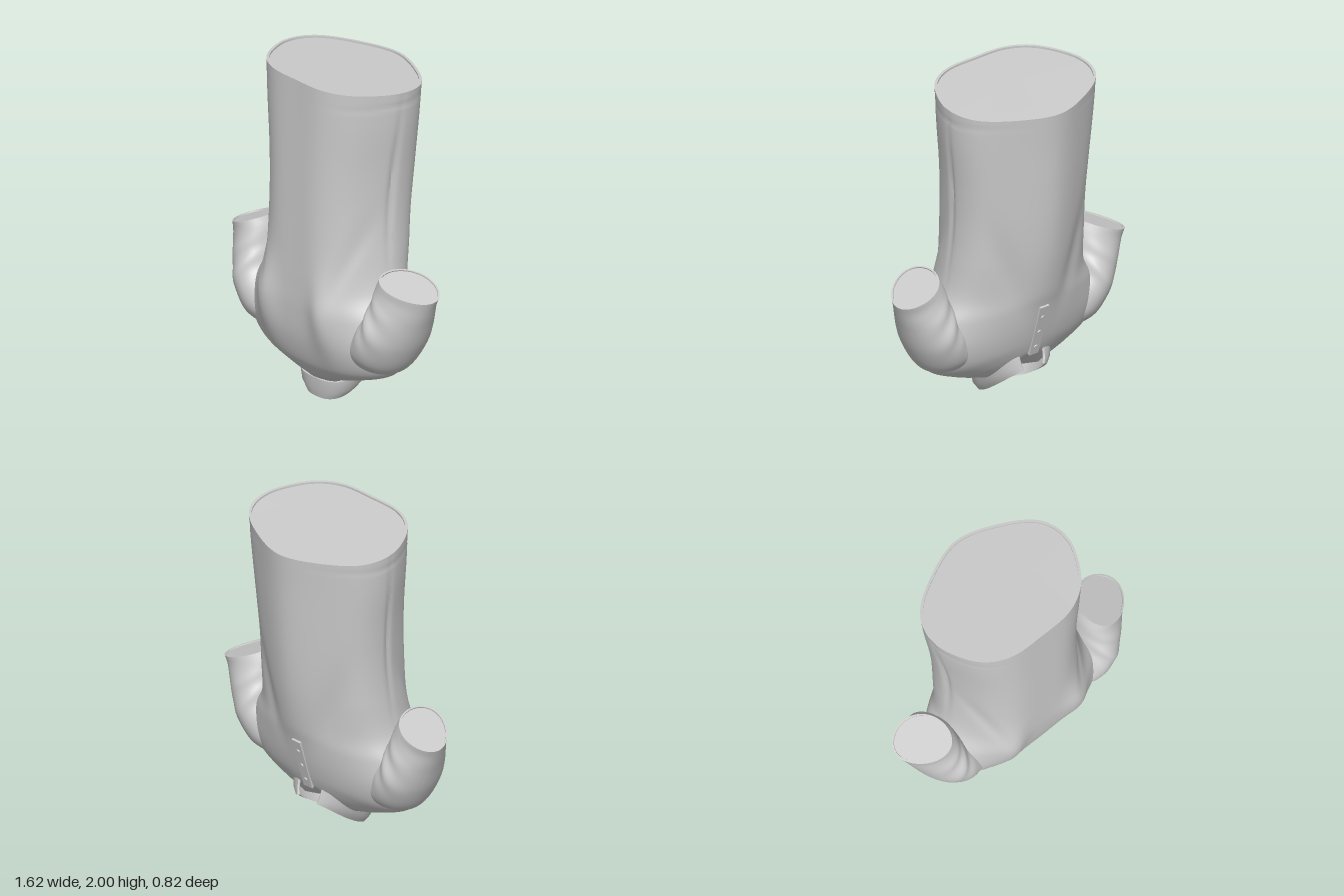
import * as THREE from 'three';
import { toCreasedNormals } from 'three/addons/utils/BufferGeometryUtils.js';

const material = new THREE.MeshStandardMaterial({ color: 0xcccccc, side: THREE.DoubleSide });
const V = (x, y, z) => new THREE.Vector3(x, y, z);
const bump = (d, w) => Math.exp(-(d * d) / (w * w));
const centre = ring => ring.reduce((s, p) => s.add(p), V(0, 0, 0)).divideScalar(ring.length);

// Skin closed rings of points; optional fans close the two ends
function loft(name, rings, capStart, capEnd, crease = 0.8) {
  const n = rings[0].length, pts = rings.flat(), index = [];
  for (let i = 0; i < rings.length - 1; i++) {
    for (let j = 0; j < n; j++) {
      const a = i * n + j, b = i * n + (j + 1) % n;
      index.push(a, b, a + n, b, b + n, a + n);
    }
  }
  const fan = (start, flip) => {
    const c = pts.push(centre(pts.slice(start, start + n))) - 1;
    for (let j = 0; j < n; j++) {
      const a = start + j, b = start + (j + 1) % n;
      index.push(...(flip ? [b, a, c] : [a, b, c]));
    }
  };
  if (capStart) fan(0, true);
  if (capEnd) fan((rings.length - 1) * n, false);
  const g = new THREE.BufferGeometry().setFromPoints(pts);
  g.setIndex(index);
  const mesh = new THREE.Mesh(toCreasedNormals(g, crease), material);
  mesh.name = name;
  return mesh;
}

// Smoothly blend a table of station rows into many rows
function blend(rows, steps) {
  const k = rows[0].length;
  const curve = new THREE.CubicInterpolant(rows.map((_, i) => i), rows.flat(), k, new Float32Array(k));
  return Array.from({ length: steps + 1 }, (_, i) =>
    Array.from(curve.evaluate(i / steps * (rows.length - 1))));
}

// Fold the last ring inwards to show the cloth thickness
function addRim(rings, thick, depth) {
  const last = rings.at(-1), c = centre(last);
  const down = centre(rings.at(-2)).sub(c).setLength(depth);
  const inner = last.map(p => p.clone().add(c.clone().sub(p).setLength(thick)));
  rings.push(inner, inner.map(p => p.clone().add(down)));
}

// Cross-section of the body, flat in front and peaked behind
const half = [[0.89, -0.43], [0.52, -0.78], [0, -1]];
const frontHalf = [[-0.91, 0.42], [-0.7, 0.79], [-0.42, 0.97], [0, 1]];
const mirror = a => a.slice(0, -1).reverse().map(([x, z]) => [-x, z]);
const section = new THREE.CatmullRomCurve3(
  [[1, 0], ...half, ...mirror(half), [-1, 0], ...frontHalf, ...mirror(frontHalf)].map(([x, z]) => V(x, 0, z)), true);

function makeBody() {
  // y front, y side, y back, half width, z front, z back, z middle, roundness
  const rows = blend([
    [0.09, 0.14, 0.315, 0.17, 0.195, -0.14, 0.05, 1],
    [0.125, 0.16, 0.34, 0.21, 0.22, -0.162, 0.06, 1],
    [0.18, 0.21, 0.375, 0.385, 0.27, -0.178, 0.09, 0.9],
    [0.27, 0.29, 0.43, 0.545, 0.325, -0.198, 0.1, 0.7],
    [0.42, 0.43, 0.52, 0.605, 0.365, -0.225, 0.09, 0.5],
    [0.6, 0.61, 0.66, 0.555, 0.38, -0.262, 0.07, 0.35],
    [0.76, 0.765, 0.78, 0.47, 0.38, -0.295, 0.04, 0.15],
    [1, 1, 1, 0.438, 0.375, -0.335, 0, 0],
    [1.25, 1.24, 1.22, 0.432, 0.37, -0.36, -0.02, 0],
    [1.5, 1.48, 1.46, 0.446, 0.365, -0.377, -0.03, 0],
    [1.78, 1.76, 1.73, 0.477, 0.36, -0.392, -0.03, 0],
    [2, 1.975, 1.945, 0.494, 0.357, -0.408, -0.03, 0],
  ], 121);
  const n = 144;
  const rings = rows.map(([yF, yS, yB, hw, zF, zB, zM, round]) => Array.from({ length: n }, (_, j) => {
    const s = section.getPoint(j / n);
    s.lerp(s.clone().normalize(), round);
    const front = s.z > 0;
    const y = yS + ((front ? yF : yB) - yS) * Math.abs(s.z) ** (1 + round);
    let x = s.x * hw, z = zM + Math.abs(s.z) * ((front ? zF : zB) - zM);
    const ax = Math.abs(x);
    if (front) {
      // chest bulges and the diagonal folds rising from the armpits
      z += 0.05 * bump(ax - 0.25, 0.1) * bump(y - 0.62, 0.22) * s.z;
      z -= 0.018 * bump(ax - 0.31 - (y - 0.85) * 0.25, 0.035) * bump(y - 1.02, 0.25);
    } else {
      // soft drapes on the other face
      z += 0.018 * bump(ax - 0.2 - (y - 0.8) * 0.28, 0.07) * bump(y - 0.95, 0.28);
    }
    // side seam
    if (ax > 0.3) x -= Math.sign(x) * 0.016 * bump(z + 0.01 - (1.9 - y) * 0.06, 0.02) * bump(y - 1.4, 0.4);
    // hem stitching
    x *= 1 - 0.008 * bump(y - 1.9, 0.012);
    return V(x, y, z);
  }));
  addRim(rings, 0.016, 0.012);
  return loft('body', rings, true, true);
}

function makeSleeve(side) {
  // outer x, y; inner x, y; z front, z back
  const rows = blend([
    [0.47, 0.27, 0.26, 0.44, 0.27, -0.07],
    [0.595, 0.325, 0.34, 0.54, 0.32, -0.12],
    [0.69, 0.475, 0.42, 0.65, 0.325, -0.14],
    [0.755, 0.645, 0.455, 0.76, 0.28, -0.11],
    [0.79, 0.745, 0.48, 0.86, 0.245, -0.08],
    [0.81, 0.8, 0.51, 0.92, 0.235, -0.075],
  ], 44);
  const n = 72;
  const rings = rows.map(([ox, oy, ix, iy, zF, zB], i) => {
    const v = i / 44;
    const ring = Array.from({ length: n }, (_, j) => {
      const a = j / n * Math.PI * 2, u = Math.cos(a);
      // gathers around the armhole, strongest on the inner side
      const gather = 1 + 0.05 * Math.sin(v * 32 + u * 4) * bump(v - 0.5, 0.18) * (0.5 - 0.5 * u);
      const w = -Math.sin(a) * (1 - 0.12 * u) * gather;
      const k = (1 + u) / 2;
      // the outer edge of the cuff leans back
      const z = (zF + zB) / 2 + w * (zF - zB) / 2 - 0.035 * u * v;
      return V(side * (ix + (ox - ix) * k), iy + (oy - iy) * k, z);
    });
    return side > 0 ? ring : ring.reverse();
  });
  addRim(rings, 0.01, 0.008);
  return loft(side > 0 ? 'leftSleeve' : 'rightSleeve', rings, false, true);
}

// Collar band around the tilted neck, open where the placket meets it
function makeCollar() {
  const edge = (a, hw, zMid, hz, y0, rise, out) => {
    const sin = Math.sin(a), cos = Math.cos(a);
    const r = (Math.abs(sin) ** 2.5 + Math.abs(cos) ** 2.5) ** -0.4;
    const t = Math.max(0, (1 - cos * r) / 2);
    return V((hw + out) * sin * r, y0 + rise * t ** 1.5, zMid + (hz + out) * cos * r);
  };
  const end = 2.74, steps = 80, rings = [];
  for (let i = 0; i <= steps; i++) {
    const a = -end + 2 * end * i / steps;
    const flare = 0.012 * Math.abs(a / end) ** 6;
    const top = o => edge(a, 0.22, 0.03, 0.197, 0.125, 0.215, o);
    const mid = o => edge(a, 0.205, 0.025, 0.198, 0.055, 0.235, o + flare / 2);
    const low = o => edge(a, 0.165, 0.015, 0.195, 0.003, 0.25, o + flare);
    rings.push([top(0), mid(0), low(0), low(-0.014), mid(-0.014), top(-0.014)]);
  }
  return loft('collar', rings, true, true, 0.6);
}

// Button strip following the slope below the neck
function makePlacket() {
  const group = new THREE.Group();
  group.name = 'placket';
  const a = V(0, 0.33, -0.163), b = V(0, 0.67, -0.264);
  const strip = new THREE.Mesh(new THREE.BoxGeometry(0.065, a.distanceTo(b), 0.026), material);
  strip.name = 'placketStrip';
  group.add(strip);
  for (const y of [-0.12, -0.01, 0.1]) {
    const button = new THREE.Mesh(new THREE.CylinderGeometry(0.012, 0.014, 0.008, 16), material);
    button.name = 'button';
    button.rotation.x = -Math.PI / 2;
    button.position.set(0, y, -0.015);
    group.add(button);
  }
  group.position.copy(a).lerp(b, 0.5);
  group.rotation.x = Math.atan2(b.z - a.z, b.y - a.y);
  return group;
}

export function createModel() {
  const model = new THREE.Group();
  model.name = 'shirt';
  model.add(makeBody(), makeSleeve(1), makeSleeve(-1), makeCollar(), makePlacket());
  return model;
}
